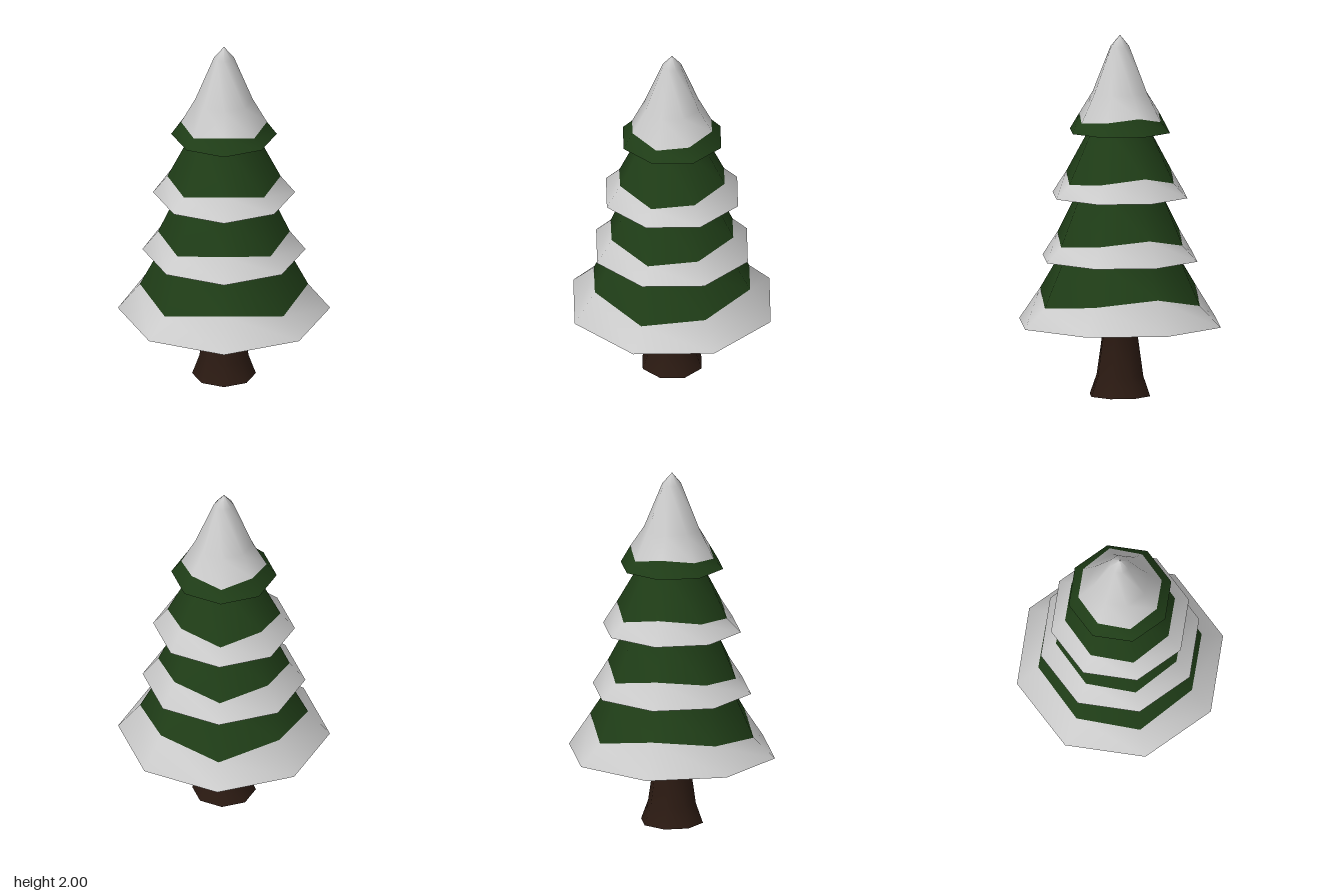
import * as THREE from 'three';

const SIDES = 8;
const snow = new THREE.MeshStandardMaterial({ color: 0xcccccc });
const needles = new THREE.MeshStandardMaterial({ color: 0x1f3d17 });
const bark = new THREE.MeshStandardMaterial({ color: 0x2b1a12 });

// Smooth eight-sided loft. Each ring is [radius, height or eight heights], counted from the front.
function loft(name, rings, material) {
  const pos = [], index = [];
  rings.forEach(([r, y], i) => {
    for (let k = 0; k < SIDES; k++) {
      const a = (k / SIDES) * Math.PI * 2;
      pos.push(r * Math.sin(a), Array.isArray(y) ? y[k] : y, r * Math.cos(a));
      if (i === 0) continue;
      const n = (k + 1) % SIDES, lo = (i - 1) * SIDES, hi = i * SIDES;
      index.push(lo + k, lo + n, hi + k, lo + n, hi + n, hi + k);
    }
  });
  const g = new THREE.BufferGeometry();
  g.setAttribute('position', new THREE.Float32BufferAttribute(pos, 3));
  g.setIndex(index);
  g.computeVertexNormals();
  const mesh = new THREE.Mesh(g, material);
  mesh.name = name;
  return mesh;
}

// Uneven snow line: front, front corner, side, back corner, back, then mirrored
const snowLine = (front, frontCorner, side, backCorner, back) =>
  [front, frontCorner, side, backCorner, back, backCorner, side, frontCorner];

export function createModel() {
  const tree = new THREE.Group();
  tree.name = 'snowyTree';

  // Trunk, flared at the foot and under the branches
  tree.add(loft('trunk', [[0, 0], [0.175, 0]], bark));
  tree.add(loft('trunk', [[0.175, 0], [0.135, 0.11], [0.103, 0.33], [0.125, 0.41]], bark));

  // Branch tiers: rim, snow line, top, and inner radius of the underside
  const tiers = [
    { y: 0.4, rim: 0.583, mid: 0.462, line: snowLine(0.575, 0.51, 0.547, 0.585, 0.515), top: [0.345, 0.77], inner: 0 },
    { y: 0.76, rim: 0.448, mid: 0.362, line: snowLine(0.89, 0.842, 0.87, 0.9, 0.845), top: [0.245, 1.12], inner: 0.3 },
    { y: 1.11, rim: 0.39, mid: 0.311, line: snowLine(1.23, 1.185, 1.208, 1.238, 1.188), top: [0.172, 1.48], inner: 0.2 },
    { y: 1.467, rim: 0.29, mid: 0.236, line: snowLine(1.555, 1.522, 1.54, 1.562, 1.525), top: null, inner: 0.13 },
  ];
  tiers.forEach((t, i) => {
    const tier = new THREE.Group();
    tier.name = `branchTier${i + 1}`;
    tier.add(loft('underside', [[t.inner, t.y], [t.rim, t.y]], needles));
    const skirt = [[t.rim, t.y], [t.mid, t.line]];
    if (t.top) {
      tier.add(loft('snowRim', skirt, snow));
      tier.add(loft('branches', [[t.mid, t.line], t.top], needles));
    } else {
      // The top tier is green at the rim with a tall snow cap
      tier.add(loft('branches', skirt, needles));
      tier.add(loft('snowCap', [[t.mid, t.line], [0.158, 1.68], [0.055, 1.935], [0, 2]], snow));
    }
    tree.add(tier);
  });
  return tree;
}
